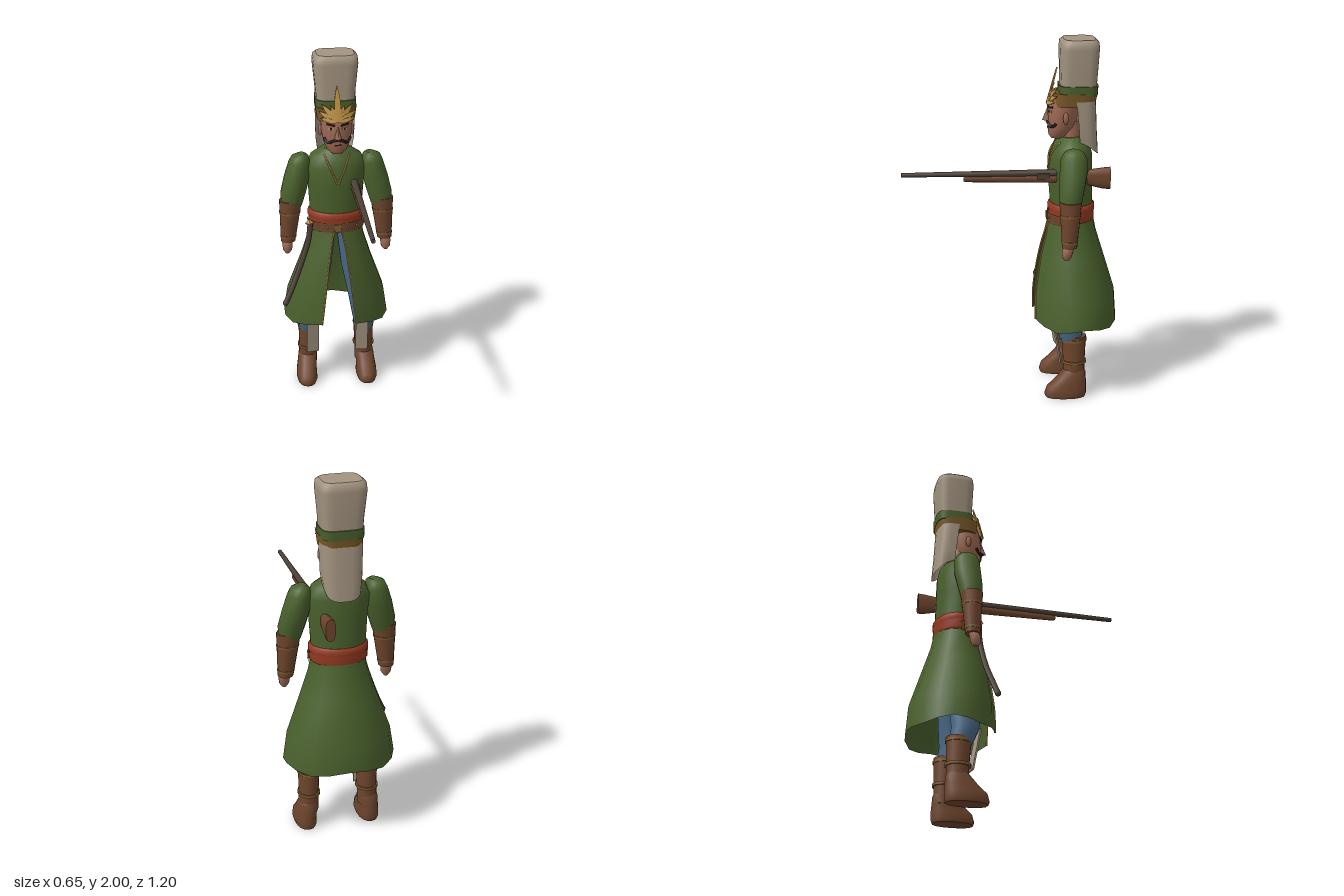
import * as THREE from 'three';

const mat = (name, color, side = THREE.FrontSide) => {
  const m = new THREE.MeshStandardMaterial({ color, side });
  m.name = name;
  return m;
};

// Point on a (super)elliptical ring [y, x, z, rx, rz]; angle 0 faces the front.
function ringPoint([y, x, z, rx, rz], angle, p) {
  const f = (v) => Math.sign(v) * Math.pow(Math.abs(v), 2 / p);
  return [x + rx * f(Math.sin(angle)), y, z + rz * f(Math.cos(angle))];
}

// Surface through rings stacked from bottom to top; closed and capped unless an arc is given.
function loft(rings, { n = 14, p = 2, arc = null, hem = null } = {}) {
  const pos = [], idx = [], cols = arc ? n + 1 : n;
  rings.forEach((r, i) => {
    const [a, b] = arc ? arc(i) : [0, Math.PI * 2];
    for (let j = 0; j < cols; j++) {
      const t = j / n, q = ringPoint(r, a + (b - a) * t, p);
      if (hem && i === 0) q[1] += hem(t);
      pos.push(...q);
    }
  });
  for (let i = 0; i < rings.length - 1; i++) {
    for (let j = 0; j < n; j++) {
      const a = i * cols + j, b = i * cols + (j + 1) % cols;
      idx.push(a, b, b + cols, a, b + cols, a + cols);
    }
  }
  if (!arc) {
    for (const [row, top] of [[0, false], [rings.length - 1, true]]) {
      const [y, x, z] = rings[row], c = pos.length / 3;
      pos.push(x, y, z);
      for (let j = 0; j < n; j++) pos.push(...pos.slice((row * n + j) * 3, (row * n + j) * 3 + 3));
      for (let j = 0; j < n; j++) {
        const a = c + 1 + j, b = c + 1 + (j + 1) % n;
        idx.push(c, top ? a : b, top ? b : a);
      }
    }
  }
  const g = new THREE.BufferGeometry();
  g.setAttribute('position', new THREE.Float32BufferAttribute(pos, 3));
  g.setIndex(idx);
  g.computeVertexNormals();
  return g;
}

// Front depth of an elliptical loft at a given x and y.
function frontZ(rings, x, y) {
  let i = 0;
  while (i < rings.length - 2 && rings[i + 1][0] < y) i++;
  const a = rings[i], b = rings[i + 1], t = (y - a[0]) / (b[0] - a[0]);
  const [, cx, cz, rx, rz] = a.map((v, k) => v + (b[k] - v) * t);
  return cz + rz * Math.sqrt(Math.max(0, 1 - ((x - cx) / rx) ** 2));
}

const tube = (pts, r, sides = 6) => new THREE.TubeGeometry(
  new THREE.CatmullRomCurve3(pts.map((q) => new THREE.Vector3(...q))), 20, r, sides);

export function createModel() {
  const group = new THREE.Group();
  const green = mat('coat green', 0x49602c, THREE.DoubleSide);
  const cream = mat('felt cream', 0xa39480, THREE.DoubleSide);
  const red = mat('sash red', 0x963a22);
  const brown = mat('leather brown', 0x6e452d, THREE.DoubleSide);
  const gold = mat('gold', 0xb88d42, THREE.DoubleSide);
  const bronze = mat('dull gold', 0x7d5a2a);
  const blue = mat('trouser blue', 0x486a88);
  const skin = mat('skin', 0x9c6852);
  const dark = mat('dark hair', 0x261b18);
  const steel = mat('dark metal', 0x4c4036);
  const add = (name, geo, material, parent = group) => {
    const m = new THREE.Mesh(geo, material);
    m.name = name;
    parent.add(m);
    return m;
  };

  // Coat body with neckline trim
  const torso = [[0.99, 0, -0.335, 0.148, 0.12], [1.1, 0, -0.335, 0.15, 0.118], [1.25, 0, -0.327, 0.16, 0.122],
    [1.36, 0, -0.33, 0.17, 0.118], [1.42, 0, -0.335, 0.145, 0.1], [1.465, 0, -0.335, 0.075, 0.065]];
  add('coatBody', loft(torso, { n: 20 }), green);
  for (const s of [-1, 1]) {
    const pts = [1.44, 1.4, 1.36, 1.32, 1.28].map((y) => {
      const x = s * (0.003 + 0.067 * (y - 1.28) / 0.16);
      return [x, y, frontZ(torso, x, y) + 0.001];
    });
    add('necklineTrim', tube(pts, 0.005), gold);
  }

  // Flared skirt, open at the front, with trimmed edges
  const skirt = [[0.41, 0, -0.358, 0.308, 0.238], [0.58, 0, -0.355, 0.285, 0.23], [0.8, 0, -0.338, 0.205, 0.178],
    [0.93, 0, -0.335, 0.163, 0.14], [1.03, 0, -0.335, 0.145, 0.12]];
  const gaps = [0.1, 0.083, 0.055, 0.035, 0.008];
  const start = (i) => Math.asin(gaps[i] / skirt[i][3]);
  add('coatSkirt', loft(skirt, {
    n: 16, arc: (i) => [start(i), Math.PI * 2 - start(i)],
    hem: (t) => 0.012 + 0.012 * Math.cos(t * Math.PI * 8),
  }), green);
  for (const s of [-1, 1]) {
    const edge = skirt.map((r, i) => ringPoint(r, s * start(i), 2));
    edge[0][1] += 0.024;
    add('skirtTrim', tube(edge, 0.005), gold);
  }

  // Sash, front belt and studs
  add('sash', loft([[1.0, 0, -0.335, 0.15, 0.12], [1.012, 0, -0.335, 0.16, 0.128], [1.05, 0, -0.335, 0.156, 0.125],
    [1.06, 0, -0.335, 0.163, 0.13], [1.085, 0, -0.335, 0.163, 0.13], [1.097, 0, -0.335, 0.15, 0.12]], { n: 20 }), red);
  const belt = [[0.985, 0, -0.335, 0.162, 0.132], [1.042, 0, -0.335, 0.166, 0.134]];
  add('leatherBelt', loft(belt, { n: 14, arc: () => [-1.6, 1.6] }), brown);
  for (const x of [-0.11, -0.06, 0.06, 0.11]) {
    add('beltStud', new THREE.SphereGeometry(0.006, 8, 6), gold).position.set(x, 1.015, frontZ(belt, x, 1.015));
  }
  add('beltBuckle', new THREE.BoxGeometry(0.04, 0.04, 0.008), bronze).position.set(0, 1.015, -0.2);

  for (const s of [-1, 1]) {
    // Sleeve, bracer and hand
    const arm = new THREE.Group();
    arm.name = s > 0 ? 'leftArm' : 'rightArm';
    group.add(arm);
    add('sleeve', loft([[1.13, s * 0.257, -0.305, 0.06, 0.057], [1.2, s * 0.247, -0.31, 0.073, 0.067],
      [1.3, s * 0.222, -0.322, 0.074, 0.075], [1.38, s * 0.208, -0.325, 0.062, 0.072],
      [1.415, s * 0.203, -0.325, 0.05, 0.055], [1.43, s * 0.195, -0.325, 0.025, 0.03]]), green, arm);
    const bracer = (y, k = 1) => {
      const t = (y - 0.91) / 0.25;
      return [y, s * (0.28 - 0.018 * t), -0.3 - 0.005 * t, k * (0.042 + 0.024 * t), k * (0.041 + 0.02 * t)];
    };
    add('bracer', loft([bracer(0.91), bracer(1.03), bracer(1.16)]), brown, arm);
    for (const y of [0.935, 1.08]) add('bracerBand', loft([bracer(y, 1.04), bracer(y + 0.012, 1.04)]), bronze, arm);
    add('hand', loft([[0.84, s * 0.285, -0.285, 0.012, 0.015], [0.86, s * 0.285, -0.285, 0.027, 0.027],
      [0.895, s * 0.285, -0.29, 0.031, 0.031], [0.925, s * 0.28, -0.3, 0.025, 0.028]], { n: 10 }), skin, arm);

    // Trouser leg, boot, straps and shin cloth
    const leg = new THREE.Group();
    leg.name = s > 0 ? 'leftLeg' : 'rightLeg';
    group.add(leg);
    add('trouser', loft([[0.32, s * 0.165, -0.335, 0.053, 0.06], [0.42, s * 0.162, -0.307, 0.07, 0.076],
      [0.55, s * 0.145, -0.31, 0.077, 0.085], [0.75, s * 0.105, -0.325, 0.078, 0.09],
      [0.96, s * 0.075, -0.335, 0.072, 0.09]]), blue, leg);
    add('bootShaft', loft([[0.1, s * 0.17, -0.345, 0.056, 0.06], [0.2, s * 0.167, -0.345, 0.054, 0.06],
      [0.36, s * 0.165, -0.342, 0.06, 0.069]]), brown, leg);
    add('bootFoot', loft([[0, s * 0.18, -0.297, 0.056, 0.112], [0.02, s * 0.18, -0.297, 0.062, 0.119],
      [0.055, s * 0.18, -0.302, 0.06, 0.114], [0.1, s * 0.176, -0.325, 0.056, 0.088],
      [0.145, s * 0.172, -0.343, 0.055, 0.067], [0.165, s * 0.17, -0.345, 0.045, 0.055]], { n: 16, p: 2.3 }), brown, leg);
    for (const y of [0.2, 0.33]) {
      add('bootStrap', loft([[y, s * 0.166, -0.344, 0.063, 0.071], [y + 0.015, s * 0.166, -0.344, 0.063, 0.071]]), bronze, leg);
    }
    const shin = add('shinCloth', new THREE.BoxGeometry(0.072, 0.23, 0.009), cream, leg);
    shin.position.set(s * 0.146, 0.305, -0.252);
    shin.rotation.set(0.17, -s * 0.15, 0);
  }

  // Head, neck, nose and ears
  const head = [[1.455, 0, -0.255, 0.03, 0.035], [1.475, 0, -0.262, 0.056, 0.056], [1.52, 0, -0.277, 0.076, 0.075],
    [1.58, 0, -0.285, 0.087, 0.083], [1.64, 0, -0.288, 0.09, 0.083], [1.7, 0, -0.3, 0.085, 0.075]];
  add('neck', loft([[1.42, 0, -0.33, 0.058, 0.055], [1.55, 0, -0.32, 0.052, 0.052]]), skin);
  add('head', loft(head, { n: 18 }), skin);
  const nose = add('nose', new THREE.ConeGeometry(0.02, 0.075, 4), skin);
  nose.scale.z = 1.5;
  nose.position.set(0, 1.59, -0.2);
  for (const s of [-1, 1]) {
    const ear = add('ear', new THREE.SphereGeometry(0.03, 6, 4), skin);
    ear.scale.set(0.4, 1.15, 0.6);
    ear.position.set(s * 0.09, 1.577, -0.292);
    // Eyes and brows
    const plate = (name, x, y, w, h, m, tilt, lift) => {
      const b = add(name, new THREE.BoxGeometry(w, h, 0.006), m);
      b.position.set(s * x, y, frontZ(head, x, y) + lift);
      b.rotation.set(0, s * 0.45, s * tilt);
    };
    plate('eyeWhite', 0.038, 1.607, 0.03, 0.011, cream, 0, 0);
    plate('pupil', 0.037, 1.607, 0.011, 0.011, dark, 0, 0.002);
    plate('eyebrow', 0.04, 1.63, 0.048, 0.01, dark, 0.12, 0.002);
    // Half of the moustache
    add('moustache', tube([[0, 1.546], [0.025, 1.54], [0.05, 1.526], [0.066, 1.534], [0.073, 1.55]].map(
      ([x, y]) => [s * x, y, frontZ(head, x, y) + 0.004]), 0.008), dark);
  }
  add('mouth', new THREE.BoxGeometry(0.04, 0.007, 0.006), dark).position.set(0, 1.513, -0.203);

  // Tall felt hat with bands
  add('hat', loft([[1.7, 0, -0.363, 0.107, 0.097], [1.8, 0, -0.366, 0.112, 0.1], [1.95, 0, -0.368, 0.127, 0.107],
    [1.985, 0, -0.368, 0.123, 0.103], [2.0, 0, -0.368, 0.105, 0.085]], { n: 28, p: 4 }), cream);
  add('hatGreenBand', loft([[1.7, 0, -0.362, 0.114, 0.106], [1.752, 0, -0.364, 0.115, 0.107]], { n: 28, p: 4 }), green);
  add('hatGoldBand', loft([[1.638, 0, -0.345, 0.106, 0.112], [1.712, 0, -0.35, 0.117, 0.118]], { n: 28, p: 3.4 }), bronze);

  // Cloth hanging from the back of the hat
  add('hatCloth', loft([[1.37, 0, -0.39, 0.098, 0.087], [1.5, 0, -0.385, 0.108, 0.083], [1.67, 0, -0.37, 0.112, 0.09]],
    { n: 14, p: 3, arc: () => [1.45, Math.PI * 2 - 1.45], hem: (t) => 0.075 * Math.abs(2 * t - 1) ** 2 }), cream);

  // Fan of gold leaves on the front of the hat
  const leaf = (angle, len, w) => {
    const sh = new THREE.Shape();
    sh.moveTo(0, 0);
    sh.quadraticCurveTo(w * 1.6, len * 0.4, 0, len);
    sh.quadraticCurveTo(-w * 1.6, len * 0.4, 0, 0);
    const g = new THREE.ExtrudeGeometry(sh, { depth: 0.008, bevelEnabled: false, curveSegments: 8 });
    g.rotateZ(angle);
    const q = g.attributes.position;
    for (let i = 0; i < q.count; i++) q.setZ(i, q.getZ(i) - 3 * q.getX(i) ** 2 - 0.28 * q.getY(i));
    g.computeVertexNormals();
    return g;
  };
  const crest = new THREE.Group();
  crest.name = 'hatCrest';
  crest.position.set(0, 1.65, -0.2);
  group.add(crest);
  add('centreLeaf', leaf(0, 0.193, 0.022), gold, crest);
  for (const s of [-1, 1]) {
    [[0.4, 0.095, 0.017], [0.75, 0.125, 0.02], [1.1, 0.115, 0.019], [1.4, 0.1, 0.015]].forEach(
      ([a, l, w]) => add('sideLeaf', leaf(-s * a, l, w), gold, crest));
  }

  // Curved scabbard and hilt at the right hip
  add('scabbard', tube([[-0.155, 1.04, -0.24], [-0.168, 0.93, -0.238], [-0.225, 0.76, -0.215],
    [-0.275, 0.64, -0.185], [-0.309, 0.57, -0.168]], 0.016, 8), steel);
  add('scabbardTip', new THREE.SphereGeometry(0.017, 8, 6), steel).position.set(-0.309, 0.572, -0.168);
  const hilt = add('swordGuard', new THREE.OctahedronGeometry(0.026), gold);
  hilt.position.set(-0.16, 1.04, -0.235);
  hilt.scale.set(1, 1, 0.7);

  // Long gun: barrel, fore-end, butt and lock, laid along z
  const barrel = add('gunBarrel', new THREE.CylinderGeometry(0.012, 0.021, 0.85, 12).rotateX(Math.PI / 2), steel);
  barrel.position.set(0.095, 1.279, 0.175);
  add('gunForeEnd', loft([[-0.3, 0.095, -1.25, 0.021, 0.028], [0.25, 0.095, -1.25, 0.013, 0.016],
    [0.262, 0.095, -1.25, 0.009, 0.011]], { n: 10 }).rotateX(Math.PI / 2), brown);
  add('gunButt', loft([[-0.538, 0.095, -1.245, 0.028, 0.063], [-0.5, 0.095, -1.245, 0.029, 0.06],
    [-0.42, 0.095, -1.25, 0.023, 0.045], [-0.36, 0.095, -1.255, 0.02, 0.03]], { n: 10, p: 2.6 }).rotateX(Math.PI / 2), brown);
  add('gunLock', new THREE.BoxGeometry(0.012, 0.03, 0.07), steel).position.set(0.115, 1.265, -0.17);

  return group;
}
